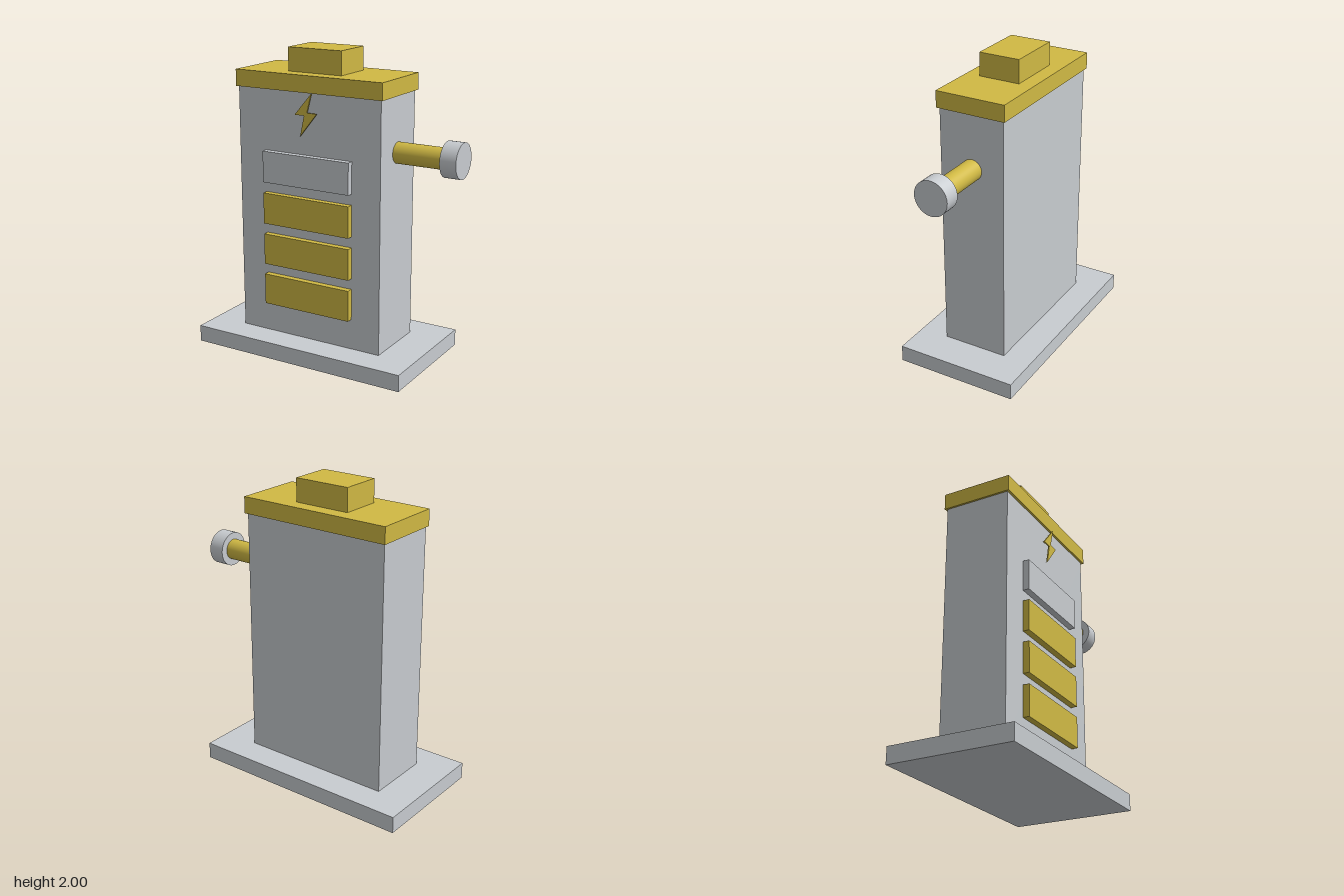
import * as THREE from 'three';

export function createModel() {
  const group = new THREE.Group();
  const grey = new THREE.MeshStandardMaterial({ color: 0xc8ccd0 });
  grey.name = 'light grey';
  const gold = new THREE.MeshStandardMaterial({ color: 0xd0b944 });
  gold.name = 'gold';

  const add = (name, geometry, material, x, y, z) => {
    const mesh = new THREE.Mesh(geometry, material);
    mesh.name = name;
    mesh.position.set(x, y, z);
    group.add(mesh);
    return mesh;
  };
  // Box given by its limits on each axis
  const box = (name, material, [x0, x1], [y0, y1], [z0, z1]) =>
    add(name, new THREE.BoxGeometry(x1 - x0, y1 - y0, z1 - z0), material,
      (x0 + x1) / 2, (y0 + y1) / 2, (z0 + z1) / 2);
  // Cylinder lying along x
  const rod = (name, material, x0, x1, y, radius) => {
    const geometry = new THREE.CylinderGeometry(radius, radius, x1 - x0, 48);
    geometry.rotateZ(-Math.PI / 2);
    return add(name, geometry, material, (x0 + x1) / 2, y, 0);
  };

  // Base, cabinet and stepped top
  box('base', grey, [-0.857, 0.656], [0, 0.11], [-0.41, 0.41]);
  box('body', grey, [-0.619, 0.413], [0.11, 1.74], [-0.219, 0.219]);
  box('lid', gold, [-0.631, 0.428], [1.74, 1.848], [-0.234, 0.234]);
  box('topCap', gold, [-0.295, 0.09], [1.848, 2], [-0.137, 0.137]);

  // Charge level bars, the top one unlit
  for (let i = 0; i < 4; i++) {
    const y = 0.312 + i * 0.276;
    box('levelBar' + (i + 1), i < 3 ? gold : grey, [-0.418, 0.213], [y, y + 0.205], [0.219, 0.261]);
  }

  // Side handle
  rod('handleRod', gold, 0.41, 0.748, 1.382, 0.068);
  rod('handleKnob', grey, 0.748, 0.855, 1.382, 0.113);

  // Lightning bolt sign
  const bolt = new THREE.Shape([
    [-0.06, 1.741], [-0.182, 1.6], [-0.113, 1.6], [-0.142, 1.468], [-0.021, 1.619], [-0.092, 1.619],
  ].map(([x, y]) => new THREE.Vector2(x, y)));
  add('bolt', new THREE.ExtrudeGeometry(bolt, { depth: 0.009, bevelEnabled: false }), gold, 0, 0, 0.237);

  return group;
}
